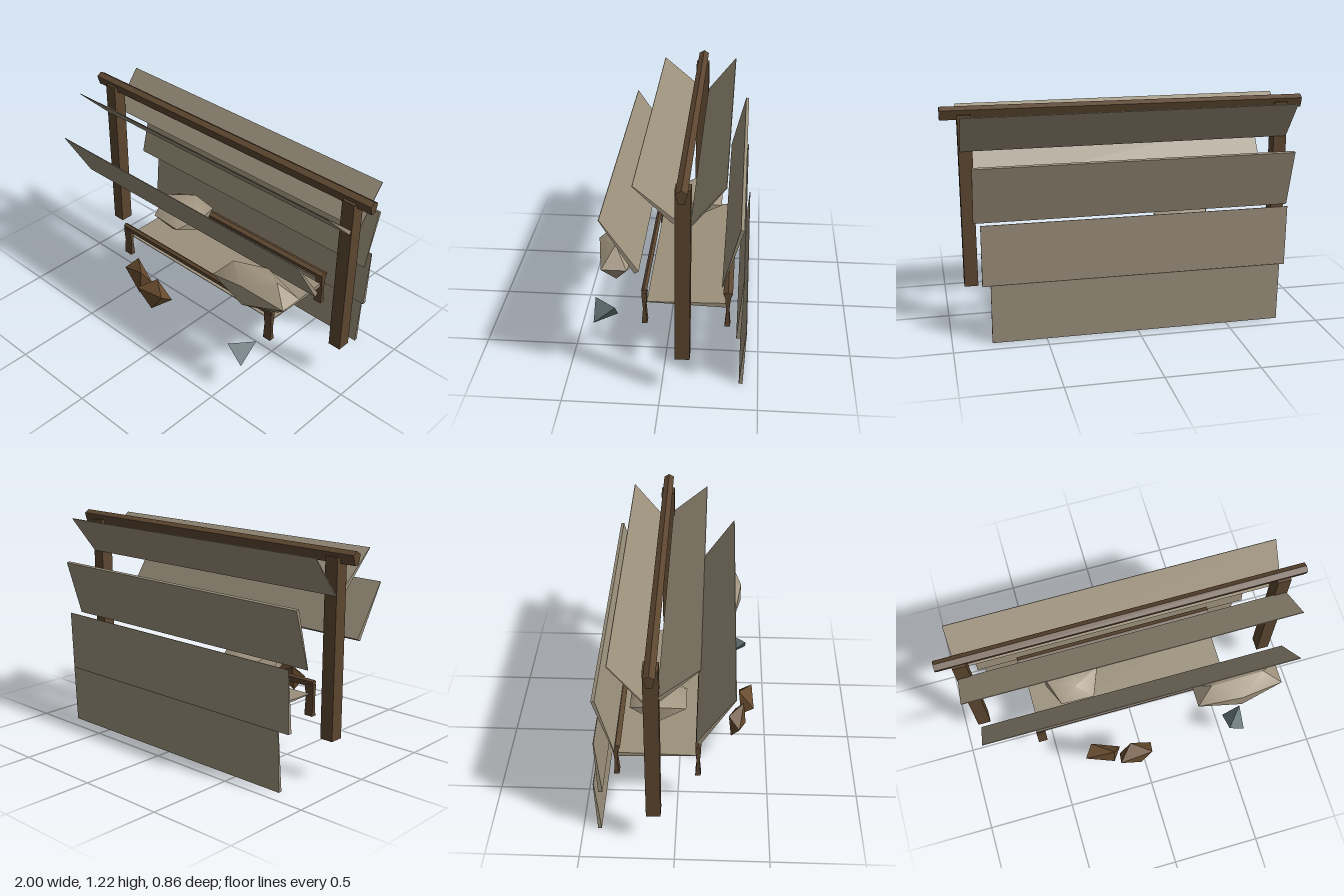
import * as THREE from 'three';
import { toCreasedNormals } from 'three/addons/utils/BufferGeometryUtils.js';
import { ConvexGeometry } from 'three/addons/geometries/ConvexGeometry.js';

const material = (name, color) => {
  const m = new THREE.MeshStandardMaterial({ color });
  m.name = name;
  return m;
};

// Extrudes a cross-section of [z, y] points from x0 to x1.
function crossSection(points, x0, x1) {
  const shape = new THREE.Shape(points.map(([z, y]) => new THREE.Vector2(z, y)));
  const geo = new THREE.ExtrudeGeometry(shape, { depth: x1 - x0, bevelEnabled: false });
  return geo.rotateY(-Math.PI / 2).translate(x1, 0, 0);
}

// Board between two [z, y] edges, each with its own thickness.
function wedge(a, b, ta, tb, x0, x1) {
  const dz = b[0] - a[0], dy = b[1] - a[1], l = Math.hypot(dz, dy);
  const n = [-dy / l / 2, dz / l / 2];
  const off = (p, t) => [p[0] + n[0] * t, p[1] + n[1] * t];
  return crossSection([off(a, ta), off(b, tb), off(b, -tb), off(a, -ta)], x0, x1);
}

// Beam with a peaked top and narrowed underside.
function beam(z, y0, y1, halfWidth, x0, x1) {
  const shoulder = y1 - (y1 - y0) * 0.25, w = halfWidth;
  return crossSection([
    [z - w * 0.5, y0], [z + w * 0.5, y0], [z + w, shoulder], [z, y1], [z - w, shoulder],
  ], x0, x1);
}

// Eight-sided stone from three half axes.
function stone(center, axes) {
  const c = new THREE.Vector3(...center);
  const points = axes.flatMap((a) => {
    const v = new THREE.Vector3(...a);
    return [c.clone().add(v), c.clone().sub(v)];
  });
  return new ConvexGeometry(points);
}

export function createModel() {
  const root = new THREE.Group();
  const wood = material('darkWood', 0x5c4630);
  const canvas = material('weatheredBoard', 0x9b907b);
  const sack = material('paleSack', 0xa0947f);
  const brown = material('brownStone', 0x664a2d);
  const slate = material('slate', 0x6c7b7f);

  const add = (name, geo, mat, parent = root) => {
    const mesh = new THREE.Mesh(geo, mat);
    mesh.name = name;
    parent.add(mesh);
    return mesh;
  };

  // Frame: two posts and a ridge beam
  for (const [name, x] of [['rightPost', -0.877], ['leftPost', 0.873]]) {
    add(name, new THREE.BoxGeometry(0.074, 0.95, 0.076).translate(x, 0.705, -0.112), wood);
  }
  const ridge = add('ridgeBeam', beam(0, -0.035, 0.035, 0.029, -1, 1), wood);
  ridge.position.set(0, 1.185, -0.112);
  ridge.rotation.z = 0.004;

  // Roof and back boards: upper edge, lower edge, thicknesses, x range
  const boards = [
    ['frontUpperBoard', [0.124, 1.192], [-0.073, 1.012], 0.004, 0.024, -0.91, 0.905],
    ['frontLowerBoard', [0.294, 0.985], [0.115, 0.703], 0.004, 0.024, -0.87, 0.865],
    ['backUpperBoard', [-0.315, 1.199], [-0.15, 0.99], 0.004, 0.007, -0.91, 0.903],
    ['backSecondBoard', [-0.395, 0.955], [-0.305, 0.637], 0.018, 0.004, -0.87, 0.86],
    ['backThirdBoard', [-0.411, 0.655], [-0.391, 0.318], 0.004, 0.022, -0.835, 0.83],
    ['backBottomBoard', [-0.432, 0.333], [-0.411, 0.005], 0.004, 0.02, -0.795, 0.79],
  ];
  for (const [name, ...args] of boards) add(name, wedge(...args), canvas);

  // Low bench: shelf, two rails, four waisted legs
  const bench = new THREE.Group();
  bench.name = 'bench';
  root.add(bench);
  add('shelf', wedge([0.1, 0.345], [-0.32, 0.343], 0.004, 0.026, -0.57, 0.57), canvas, bench);
  for (const [side, z, w] of [['front', 0.112, 0.015], ['back', -0.33, 0.025]]) {
    const rail = add(side + 'Rail', beam(0, -0.021, 0.021, w, -0.592, 0.588), wood, bench);
    rail.position.set(0, 0.41, z);
    rail.rotation.z = 0.006;
    const h = 0.015;
    const profile = [
      [z - h, 0.22], [z + h, 0.22], [z + h * 0.5, 0.31], [z + h, 0.4],
      [z - h, 0.4], [z - h * 0.5, 0.31],
    ];
    add(side + 'RightLeg', crossSection(profile, -0.593, -0.54), wood, bench);
    add(side + 'LeftLeg', crossSection(profile, 0.535, 0.585), wood, bench);
  }

  // Faceted sacks
  const sacks = [
    ['largeSack', [0.56, 0.658, 0.237], [0.286, 0.112, 0.122], 0, 0.06],
    ['smallSack', [-0.315, 0.531, -0.112], [0.18, 0.091, 0.18], Math.PI / 2, -0.06],
  ];
  for (const [name, pos, scale, turn, tilt] of sacks) {
    const geo = new THREE.IcosahedronGeometry(1).rotateY(turn).scale(...scale).rotateZ(tilt);
    geo.translate(...pos);
    add(name, toCreasedNormals(geo, 0.8), sack);
  }

  // Loose stones
  add('rightStone', stone([-0.25, 0.335, 0.325],
    [[0.105, -0.008, -0.01], [0.06, 0.07, 0.035], [-0.055, 0.068, -0.05]]), brown);
  add('middleStone', stone([-0.066, 0.334, 0.378],
    [[0.1, -0.012, -0.04], [0.09, 0.037, 0.03], [-0.02, 0.068, -0.045]]), brown);
  const chip = new THREE.TetrahedronGeometry(Math.sqrt(3)).rotateY(Math.PI / 2);
  add('slateChip', chip.scale(0.049, 0.05, 0.059).translate(0.555, 0.27, 0.325), slate);

  return root;
}
